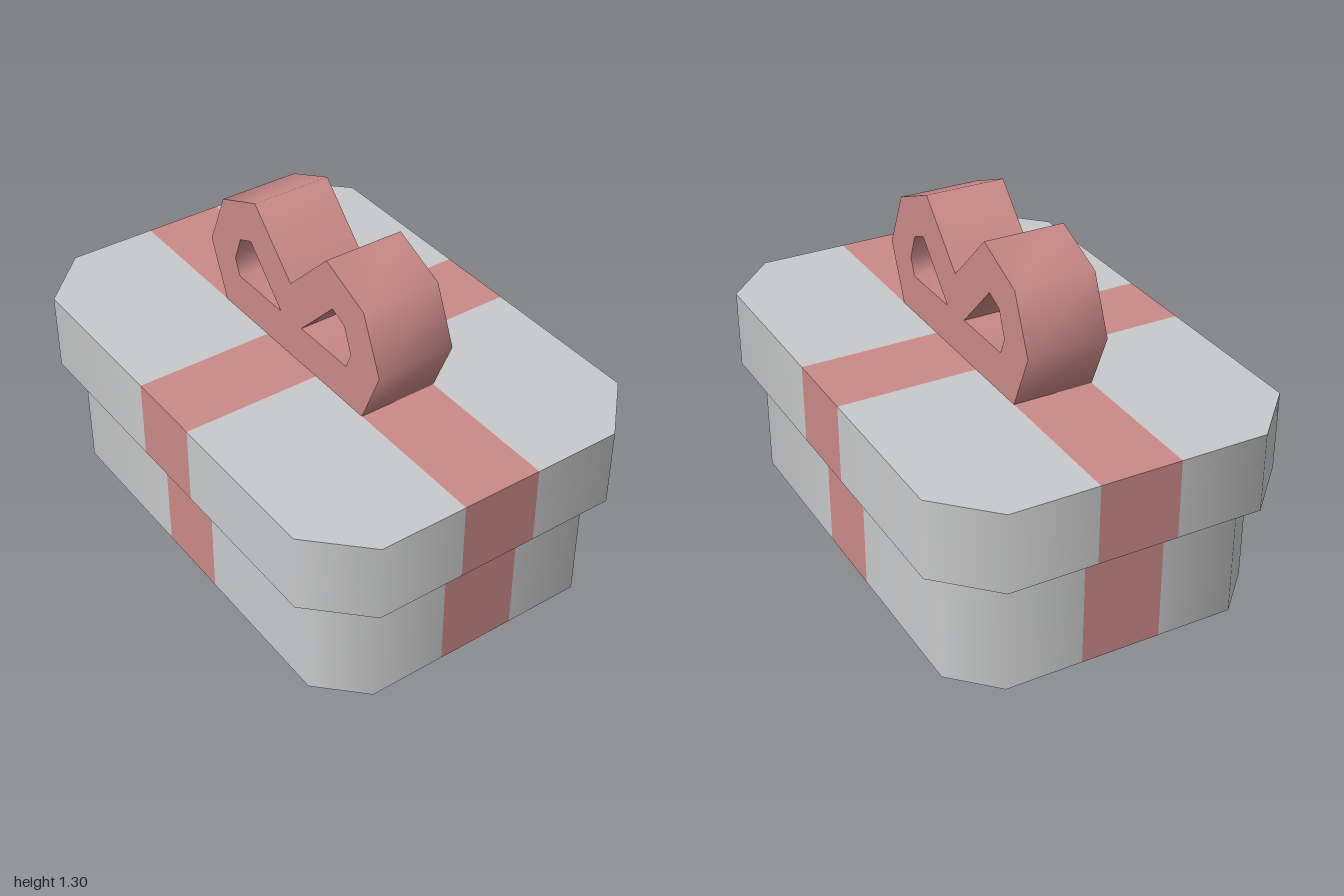
import * as THREE from 'three';
import { toCreasedNormals } from 'three/addons/utils/BufferGeometryUtils.js';

const R = 0.155; // half width of the ribbon

export function createModel() {
  const grey = new THREE.MeshStandardMaterial({ color: 0xc8c9ca });
  grey.name = 'paperGrey';
  const red = new THREE.MeshStandardMaterial({ color: 0xca8a88 });
  red.name = 'ribbonRed';

  const add = (parent, name, geometry, material) => {
    const mesh = new THREE.Mesh(geometry, material);
    mesh.name = name;
    parent.add(mesh);
    return mesh;
  };
  const shapeOf = pts => new THREE.Shape(pts.map(p => new THREE.Vector2(p[0], p[1])));

  // Chamfered rectangle outline in x,z, with extra points at the ribbon edges
  const outline = (w, d, c) => [
    [R, d], [w - c, d], [w, d - c], [w, R],
    [w, -R], [w, -d + c], [w - c, -d], [R, -d],
    [-R, -d], [-w + c, -d], [-w, -d + c], [-w, -R],
    [-w, R], [-w, d - c], [-w + c, d], [-R, d],
  ];

  // Walls rounded by smooth normals; every fourth panel is ribbon
  const walls = (pts, y0, y1) => {
    const n = pts.length, pos = [], nor = [], idx = [];
    const edgeNormal = i => {
      const a = pts[(i + n) % n], b = pts[(i + 1) % n];
      return new THREE.Vector2(a[1] - b[1], b[0] - a[0]).normalize();
    };
    const g = new THREE.BufferGeometry();
    pts.forEach((p, i) => {
      const m = edgeNormal(i - 1).add(edgeNormal(i)).normalize();
      pos.push(p[0], y0, p[1], p[0], y1, p[1]);
      nor.push(m.x, 0, m.y, m.x, 0, m.y);
      const a = 2 * i, b = 2 * ((i + 1) % n);
      g.addGroup(idx.length, 6, i % 4 === 3 ? 1 : 0);
      idx.push(a, b, b + 1, a, b + 1, a + 1);
    });
    g.setAttribute('position', new THREE.Float32BufferAttribute(pos, 3));
    g.setAttribute('normal', new THREE.Float32BufferAttribute(nor, 3));
    g.setIndex(idx);
    return g;
  };

  const flat = (pts, y, up) =>
    new THREE.ShapeGeometry(shapeOf(pts)).rotateX(up ? -Math.PI / 2 : Math.PI / 2).translate(0, y, 0);

  const present = new THREE.Group();
  present.name = 'giftBox';

  // Box body
  const body = new THREE.Group();
  body.name = 'body';
  present.add(body);
  const bodyOutline = outline(0.92, 0.613, 0.16);
  add(body, 'bodyWalls', walls(bodyOutline, 0, 0.465), [grey, red]);
  add(body, 'bodyBottom', flat(bodyOutline, 0, false), grey);

  // Lid
  const lid = new THREE.Group();
  lid.name = 'lid';
  present.add(lid);
  const W = 1, D = 0.692, C = 0.2, TOP = 0.77;
  const lidOutline = outline(W, D, C);
  add(lid, 'lidWalls', walls(lidOutline, 0.465, TOP), [grey, red]);
  add(lid, 'lidUnderside', flat(lidOutline, 0.465, false), grey);

  // Lid top: four corner panels around a ribbon cross
  for (const sx of [-1, 1]) for (const sz of [-1, 1]) {
    const corner = [[R, R], [W, R], [W, D - C], [W - C, D], [R, D]].map(p => [p[0] * sx, p[1] * sz]);
    add(lid, 'lidTopPanel', flat(corner, TOP, true), grey);
  }
  const cross = [
    [R, R], [R, D], [-R, D], [-R, R], [-W, R], [-W, -R],
    [-R, -R], [-R, -D], [R, -D], [R, -R], [W, -R], [W, R],
  ];
  add(lid, 'lidRibbon', flat(cross, TOP, true), red);

  // Bow: two mirrored loops in one extruded outline
  const half = [[0.43, 0.77], [0.523, 0.99], [0.43, 1.207], [0.217, 1.297]];
  const mirrored = half.map(p => [-p[0], p[1]]).reverse();
  const bowShape = shapeOf([...half, [0, 1.08], ...mirrored]);
  const hole = [[0.065, 0.925], [0.333, 0.925], [0.36, 0.99], [0.322, 1.09], [0.253, 1.12]];
  for (const s of [-1, 1]) bowShape.holes.push(shapeOf(hole.map(p => [p[0] * s, p[1]])));
  const bow = new THREE.ExtrudeGeometry(bowShape, { depth: 2 * R, bevelEnabled: false });
  bow.translate(0, 0, -R);
  add(present, 'bow', toCreasedNormals(bow, 1.3), red);

  return present;
}
